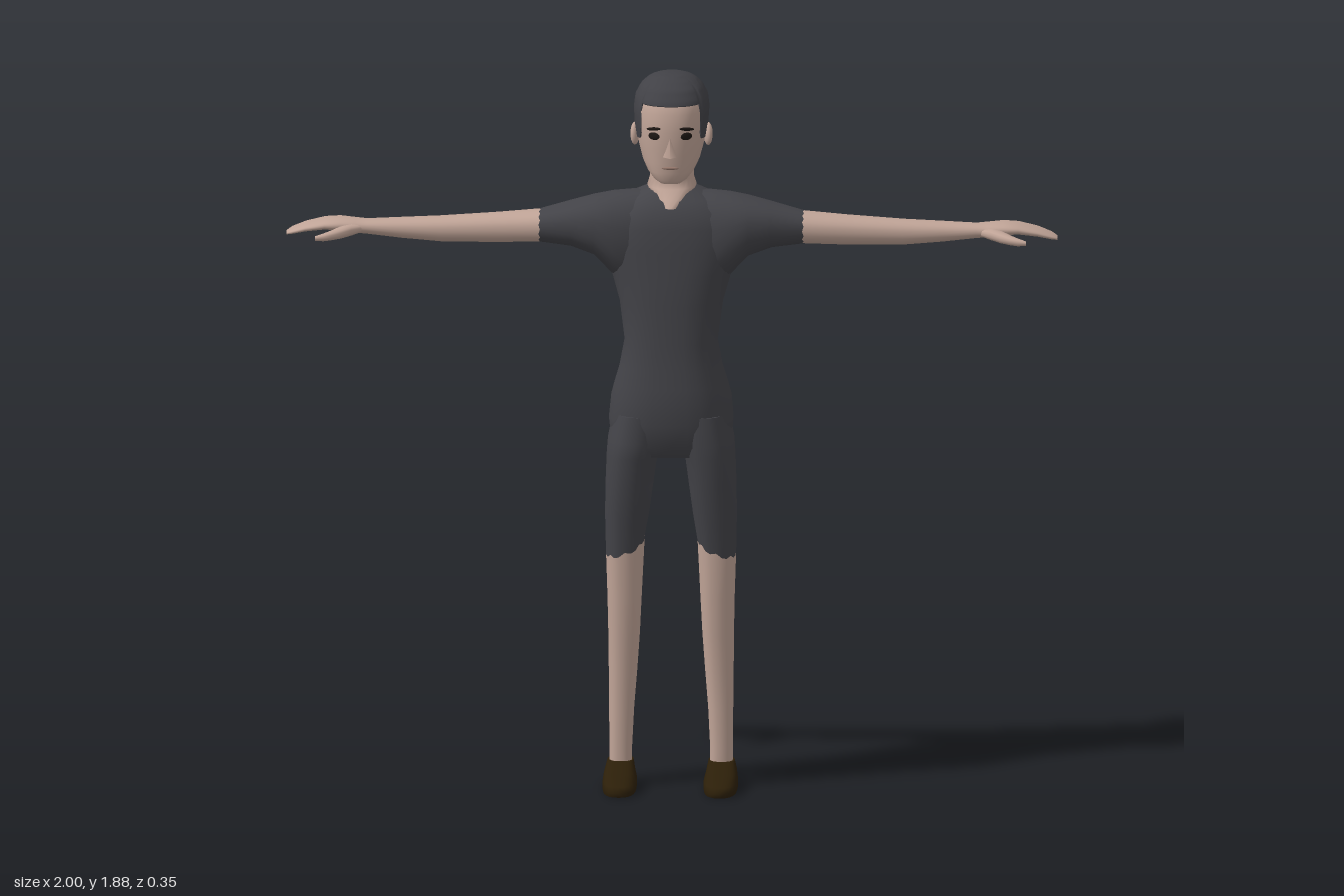
import * as THREE from 'three';

const mat = (name, color, side = THREE.FrontSide) => {
  const m = new THREE.MeshStandardMaterial({ color, side });
  m.name = name;
  return m;
};

// Closed surface from point(row, angle, column) => [x, y, z], with flat end caps
function surface(point, rows, cols, flip) {
  const pos = [], idx = [];
  const tri = (a, b, c) => (flip ? idx.push(a, c, b) : idx.push(a, b, c));
  const addRow = (j) => {
    const start = pos.length / 3;
    for (let i = 0; i < cols; i++) pos.push(...point(j, (i / cols) * Math.PI * 2, i));
    return start;
  };
  for (let j = 0; j < rows; j++) addRow(j);
  for (let j = 0; j < rows - 1; j++) for (let i = 0; i < cols; i++) {
    const k = (i + 1) % cols, a = j * cols + i, b = j * cols + k;
    tri(a, b, a + cols);
    tri(b, b + cols, a + cols);
  }
  for (const [j, end] of [[0, false], [rows - 1, true]]) {
    const s = addRow(j), c = pos.length / 3, mid = [0, 0, 0];
    for (let i = 0; i < cols; i++) for (let n = 0; n < 3; n++) mid[n] += pos[(s + i) * 3 + n] / cols;
    pos.push(...mid);
    for (let i = 0; i < cols; i++) {
      const k = s + (i + 1) % cols;
      end ? tri(s + i, k, c) : tri(k, s + i, c);
    }
  }
  const g = new THREE.BufferGeometry();
  g.setAttribute('position', new THREE.Float32BufferAttribute(pos, 3));
  g.setIndex(idx);
  g.computeVertexNormals();
  return g;
}

// Point on a superellipse section [s, aMin, aMax, bMin, bMax]
const bend = (v, n) => Math.sign(v) * Math.abs(v) ** (2 / n);
const section = ([, a0, a1, b0, b1], t, n) => [
  (a0 + a1) / 2 + ((a1 - a0) / 2) * bend(Math.cos(t), n),
  (b0 + b1) / 2 + ((b1 - b0) / 2) * bend(Math.sin(t), n),
];

// Loft along y (a = x, b = z) or along x (a = y, b = z); ring[5] may shift s around the ring
function loft(rings, axis = 'y', side = 1, cols = 24, n = 2.3) {
  return surface((j, t, i) => {
    const [a, b] = section(rings[j], t, n);
    const s = rings[j][0] + (rings[j][5] ? rings[j][5](t, i) : 0);
    return axis === 'y' ? [a * side, s, b] : [s * side, a, b];
  }, rings.length, cols, (axis === 'y') !== (side < 0));
}

// Head sections, chin to crown: y, half width, back z, front z
const HEAD = [
  [1.605, 0.026, 0.015, 0.055], [1.615, 0.042, -0.01, 0.063], [1.635, 0.06, -0.06, 0.067],
  [1.66, 0.074, -0.13, 0.07], [1.70, 0.085, -0.155, 0.073], [1.745, 0.091, -0.166, 0.074],
  [1.79, 0.094, -0.17, 0.068], [1.82, 0.09, -0.169, 0.055], [1.845, 0.076, -0.156, 0.034],
  [1.862, 0.056, -0.132, 0.004], [1.872, 0.03, -0.1, -0.022], [1.874, 0.006, -0.062, -0.05],
];
const HEAD_N = 2.2;
function headRing(y, grow = 0) {
  let k = 0;
  while (k < HEAD.length - 2 && y > HEAD[k + 1][0]) k++;
  const f = THREE.MathUtils.clamp((y - HEAD[k][0]) / (HEAD[k + 1][0] - HEAD[k][0]), 0, 1);
  const [w, b, z] = [1, 2, 3].map((c) => THREE.MathUtils.lerp(HEAD[k][c], HEAD[k + 1][c], f));
  return [y, -w - grow, w + grow, b - grow, z + grow];
}
function faceZ(x, y) {
  const [, , w, b, z] = headRing(y);
  return (b + z) / 2 + ((z - b) / 2) * (1 - Math.abs(x / w) ** HEAD_N) ** (1 / HEAD_N);
}

// Lower edge of the hair, by angle in degrees away from the front
const HAIRLINE = [[0, 1.812], [50, 1.812], [56, 1.72], [75, 1.718], [80, 1.75], [96, 1.75], [108, 1.715], [180, 1.703]];
function hairline(deg) {
  let k = 0;
  while (k < HAIRLINE.length - 2 && deg > HAIRLINE[k + 1][0]) k++;
  const [p, q] = [HAIRLINE[k], HAIRLINE[k + 1]];
  return p[1] + ((deg - p[0]) / (q[0] - p[0])) * (q[1] - p[1]);
}

export function createModel() {
  const root = new THREE.Group();
  root.name = 'figure';
  const skin = mat('skin', 0xc0a497);
  const cloth = mat('darkCloth', 0x434348);
  const hairMat = mat('hair', 0x414146, THREE.DoubleSide);
  const leather = mat('shoeLeather', 0x2c1f09);
  const eyeMat = mat('eyeDark', 0x1c1613);
  const lipMat = mat('lip', 0x96786c);
  const add = (name, geo, m, parent = root) => {
    const mesh = new THREE.Mesh(geo, m);
    mesh.name = name;
    parent.add(mesh);
    return mesh;
  };

  // Torso: y, half width, back z, front z
  add('torso', loft([
    [0.88, 0.13, -0.08, 0.065], [0.91, 0.155, -0.115, 0.09], [0.97, 0.162, -0.152, 0.1],
    [1.03, 0.156, -0.17, 0.1], [1.065, 0.147, -0.152, 0.095], [1.11, 0.134, -0.125, 0.09], [1.18, 0.121, -0.113, 0.081],
    [1.28, 0.134, -0.13, 0.077], [1.36, 0.157, -0.149, 0.07], [1.42, 0.18, -0.162, 0.064],
    [1.48, 0.182, -0.168, 0.058], [1.52, 0.16, -0.166, 0.046], [1.55, 0.12, -0.157, 0.024],
    [1.573, 0.062, -0.143, -0.008],
  ].map(([y, w, b, f]) => [y, -w, w, b, f]), 'y', 1, 28, 2.4), cloth);

  // Neck, with its open collar reaching down the front
  add('neck', loft([
    [1.535, -0.03, 0.03, -0.14, 0.042], [1.555, -0.052, 0.052, -0.15, 0.026], [1.578, -0.064, 0.064, -0.15, -0.003],
    [1.60, -0.057, 0.057, -0.142, -0.014], [1.65, -0.058, 0.058, -0.141, -0.01], [1.69, -0.06, 0.06, -0.145, 0],
  ]), skin);

  // Head and hair
  const head = new THREE.Group();
  head.name = 'head';
  root.add(head);
  add('face', loft(HEAD.map((r) => headRing(r[0])), 'y', 1, 32, HEAD_N), skin, head);
  const rows = 18;
  add('hair', surface((j, t) => {
    const deg = Math.abs(((t * 180 / Math.PI - 90 + 540) % 360) - 180);
    const f = 1 - (1 - j / (rows - 1)) ** 1.6;
    const y = THREE.MathUtils.lerp(hairline(deg), 1.874, f);
    const [x, z] = section(headRing(y, 0.004), t, HEAD_N);
    return [x, y + 0.003 * f, z];
  }, rows, 72, true), hairMat, head);

  // Nose wedge, mouth, eyes, brows and ears
  const nose = add('nose', new THREE.ConeGeometry(0.019, 0.065, 4, 1), skin, head);
  nose.scale.z = 1.15;
  nose.position.set(0, 1.712, 0.069);
  const dot = (name, x, y, w, h, m, roll = 0) => {
    const d = add(name, new THREE.SphereGeometry(1, 16, 10), m, head);
    d.scale.set(w, h, 0.004);
    d.position.set(x, y, faceZ(x, y));
    d.rotation.set(0, Math.atan2(faceZ(x - 0.005, y) - faceZ(x + 0.005, y), 0.01), roll);
  };
  dot('mouth', 0, 1.65, 0.022, 0.004, lipMat);
  for (const s of [1, -1]) {
    dot('eye', s * 0.042, 1.734, 0.017, 0.01, eyeMat);
    dot('brow', s * 0.043, 1.753, 0.022, 0.0045, eyeMat, -s * 0.12);
    const ear = add('ear', new THREE.SphereGeometry(1, 14, 10), skin, head);
    ear.scale.set(0.011, 0.03, 0.018);
    ear.position.set(s * 0.095, 1.718, -0.045);
    ear.rotation.set(-0.2, s * 0.3, 0);
  }

  const armHem = [0.34, 1.43, 1.512, -0.11, 0.008, (t, i) => (i % 2) * 0.004];
  const legHem = [0.635, 0.068, 0.169, -0.067, 0.058,
    (t, i) => -0.02 * Math.cos(t) - 0.018 * Math.sin(t) + (i % 3 ? 0 : 0.008)];
  for (const s of [1, -1]) {
    // Arm along x: x, lower y, upper y, back z, front z
    const arm = new THREE.Group();
    arm.name = s > 0 ? 'leftArm' : 'rightArm';
    root.add(arm);
    add('sleeve', loft([
      [0.04, 1.33, 1.565, -0.15, 0.03], [0.10, 1.31, 1.566, -0.158, 0.045], [0.15, 1.345, 1.562, -0.152, 0.05],
      [0.20, 1.398, 1.552, -0.143, 0.044], [0.26, 1.42, 1.536, -0.127, 0.028], armHem,
    ], 'x', s), cloth, arm);
    add('forearm', loft([
      armHem, [0.45, 1.426, 1.502, -0.106, -0.004], [0.60, 1.426, 1.491, -0.101, -0.014],
      [0.70, 1.434, 1.486, -0.099, -0.02], [0.79, 1.444, 1.481, -0.097, -0.026],
      [0.82, 1.447, 1.483, -0.104, -0.022], [0.86, 1.453, 1.486, -0.113, -0.016],
      [0.90, 1.455, 1.482, -0.118, -0.02], [0.95, 1.448, 1.468, -0.12, -0.032],
      [0.985, 1.44, 1.454, -0.112, -0.044], [1.0, 1.437, 1.445, -0.096, -0.058],
    ], 'x', s), skin, arm);
    add('thumb', loft([
      [0.80, 1.452, 1.472, -0.06, -0.028], [0.83, 1.446, 1.475, -0.055, 0.002], [0.855, 1.443, 1.472, -0.04, 0.026],
      [0.88, 1.443, 1.467, -0.002, 0.042], [0.90, 1.443, 1.463, 0.022, 0.05], [0.922, 1.445, 1.457, 0.036, 0.05],
    ], 'x', s, 14), skin, arm);

    // Leg along y: y, inner x, outer x, back z, front z
    const leg = new THREE.Group();
    leg.name = s > 0 ? 'leftLeg' : 'rightLeg';
    root.add(leg);
    add('shorts', loft([
      legHem, [0.72, 0.057, 0.171, -0.072, 0.073], [0.80, 0.046, 0.17, -0.09, 0.085],
      [0.88, 0.035, 0.167, -0.113, 0.093], [0.92, 0.018, 0.164, -0.13, 0.096], [0.99, 0.005, 0.15, -0.15, 0.09],
    ], 'y', s), cloth, leg);
    add('shin', loft([
      [0.045, 0.101, 0.16, -0.04, 0.022], [0.10, 0.101, 0.16, -0.042, 0.024], [0.20, 0.096, 0.161, -0.052, 0.026],
      [0.30, 0.088, 0.162, -0.065, 0.031], [0.40, 0.081, 0.163, -0.063, 0.04], [0.50, 0.076, 0.165, -0.06, 0.05], legHem,
    ], 'y', s), skin, leg);
    add('shoe', loft([
      [0, 0.088, 0.174, -0.052, 0.172], [0.012, 0.086, 0.176, -0.056, 0.178], [0.026, 0.087, 0.175, -0.056, 0.168],
      [0.042, 0.092, 0.172, -0.055, 0.105], [0.064, 0.097, 0.165, -0.05, 0.028],
    ], 'y', s, 24, 2.5), leather, leg);
  }
  return root;
}
